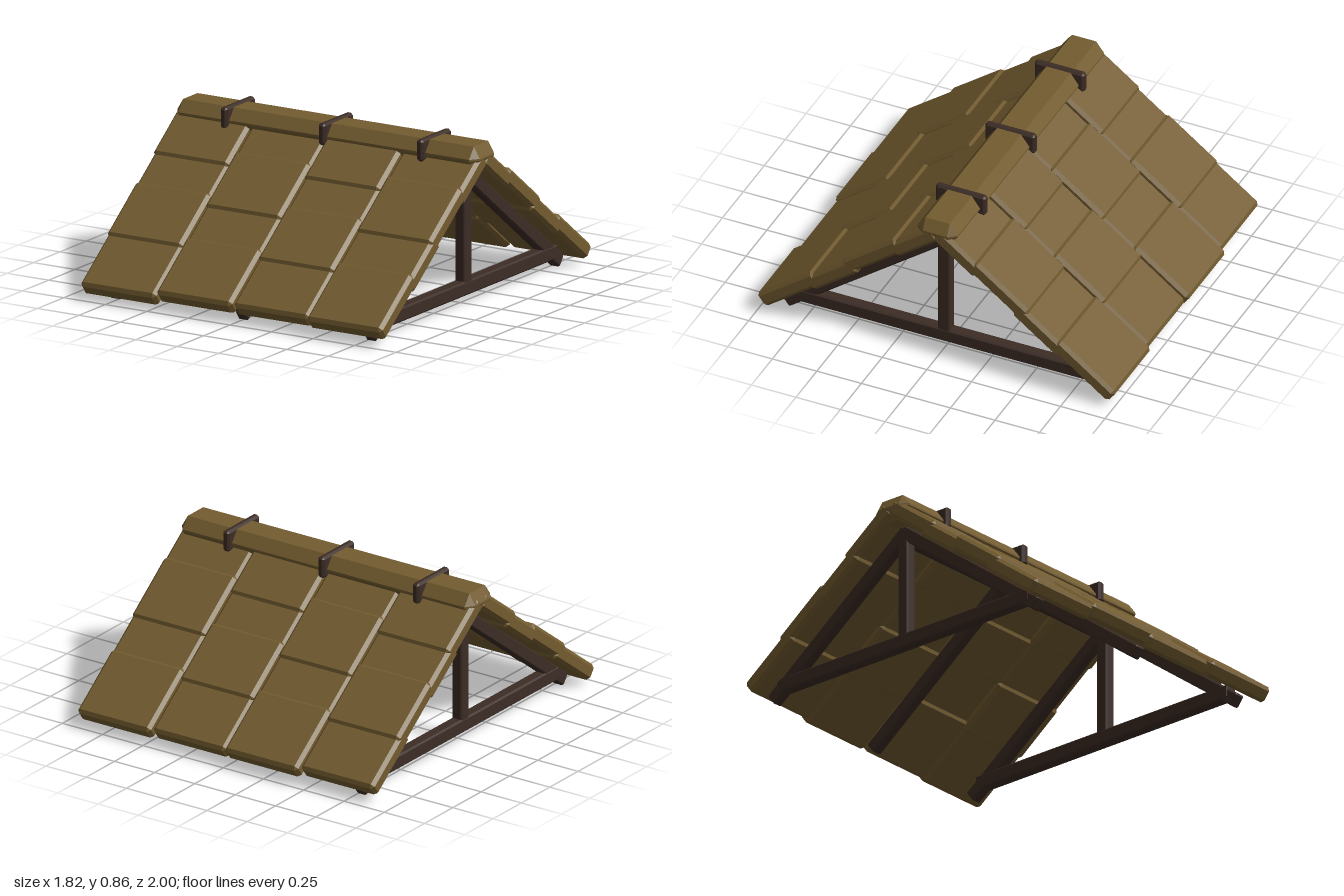
import * as THREE from 'three';
import { ConvexGeometry } from 'three/addons/geometries/ConvexGeometry.js';

const tileMat = new THREE.MeshStandardMaterial({ color: 0x735c30 });
tileMat.name = 'shingle brown';
const woodMat = new THREE.MeshStandardMaterial({ color: 0x3c2c25 });
woodMat.name = 'dark timber';

// Box with every edge and corner cut flat; cx, cy, cz set the cut along each axis
function chamferBox(w, h, d, cx, cy = cx, cz = cx) {
  const pts = [];
  for (const sx of [-1, 1]) for (const sy of [-1, 1]) for (const sz of [-1, 1]) {
    const x = w / 2, y = h / 2, z = d / 2;
    pts.push(
      new THREE.Vector3(sx * x, sy * (y - cy), sz * (z - cz)),
      new THREE.Vector3(sx * (x - cx), sy * y, sz * (z - cz)),
      new THREE.Vector3(sx * (x - cx), sy * (y - cy), sz * z));
  }
  return new ConvexGeometry(pts);
}

function add(parent, name, geometry, material, x, y, z) {
  const mesh = new THREE.Mesh(geometry, material);
  mesh.name = name;
  mesh.position.set(x, y, z);
  parent.add(mesh);
  return mesh;
}

// Slope frame: 3-4-5 pitch, outer roof surface is y = APEX - 0.75 z
const PITCH = Math.atan(0.75), APEX = 0.86;

// Slab whose top face runs from z0 to z1, sunk below the roof surface by depth
function slopeSlab(parent, name, material, x, width, z0, z1, depth, thick, cut) {
  const zm = (z0 + z1) / 2, down = depth + thick / 2;
  const mesh = add(parent, name, chamferBox(width, thick, (z1 - z0) / 0.8, cut), material,
    x, APEX - 0.75 * zm - 0.8 * down, zm - 0.6 * down);
  mesh.rotation.x = PITCH;
}

export function createModel() {
  const roof = new THREE.Group();
  roof.name = 'gableRoof';

  // Alternating raised and sunken shingles: [start z, end z, raised]
  const layouts = [
    [[0.03, 0.31, 1], [0.26, 0.5, 0], [0.455, 0.748, 1], [0.69, 1, 0]],
    [[0.03, 0.27, 0], [0.225, 0.53, 1], [0.48, 0.74, 0], [0.69, 1, 1]],
  ];
  const ends = { front: [1.008, 0.995, 0.988, 1.003], back: [1.01, 0.997, 1.002, 0.983] };

  for (const side of ['front', 'back']) {
    const slope = new THREE.Group();
    slope.name = side + 'Slope';
    if (side === 'back') slope.rotation.y = Math.PI;
    roof.add(slope);

    for (let col = 0; col < 4; col++) {
      const x = -0.6825 + col * 0.455;
      // the back slope is turned round, so its columns swap layouts
      const kind = side === 'front' ? col % 2 : (col + 1) % 2;
      layouts[kind].forEach(([z0, z1, raised], i) => {
        const end = i === 3 ? ends[side][col] : z1;
        slopeSlab(slope, 'shingle', tileMat, x, 0.452, z0, end, raised ? -0.007 : 0.007, 0.086, 0.018);
      });
    }

    // Rafters under the shingles
    for (const x of [-0.77, 0, 0.77]) {
      slopeSlab(slope, 'rafter', woodMat, x, 0.06, 0.06, 0.966, 0.09, 0.07, 0.008);
    }
  }

  // Ridge cap with sloping shoulders
  add(roof, 'ridgeCap', chamferBox(1.82, 0.13, 0.226, 0.035, 0.06, 0.045), tileMat, 0, 0.8, -0.002);

  // Straps over the ridge
  for (const x of [-0.59, 0, 0.59]) {
    add(roof, 'ridgeStrap', chamferBox(0.042, 0.115, 0.28, 0.012), woodMat, x, 0.8175, -0.004);
  }

  // Ridge beam and the two end trusses
  add(roof, 'ridgeBeam', chamferBox(1.58, 0.08, 0.07, 0.008), woodMat, 0, 0.69, 0);
  for (const x of [-0.77, 0.77]) {
    add(roof, 'tieBeam', chamferBox(0.066, 0.075, 1.7, 0.008), woodMat, x, 0.0975, 0);
    add(roof, 'kingPost', chamferBox(0.062, 0.63, 0.07, 0.008), woodMat, x, 0.405, 0);
  }
  return roof;
}
